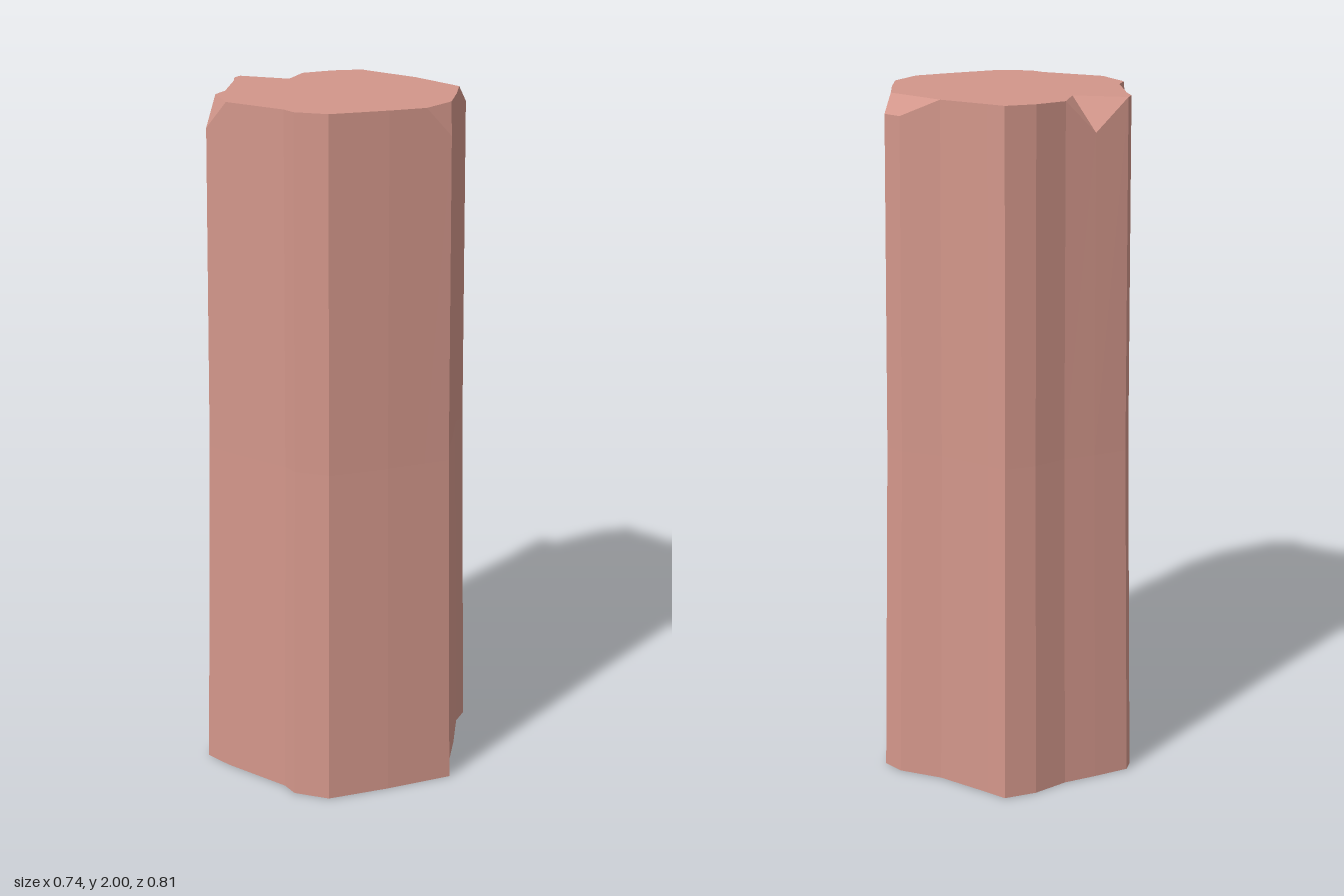
import * as THREE from 'three';

// Base outline [x, z, height of the rim], clockwise seen from above; rim below 2 marks a chipped corner
const outline = [
  [0, -0.405, 2], [0.05, -0.372, 2], [0.192, -0.284, 2], [0.315, -0.242, 1.95], [0.363, -0.196, 1.95],
  [0.348, -0.138, 2], [0.356, 0.0, 2], [0.357, 0.135, 2], [0.369, 0.213, 1.92], [0.300, 0.255, 2],
  [0.2, 0.316, 2], [0.038, 0.404, 2], [-0.067, 0.39, 2], [-0.103, 0.353, 2], [-0.295, 0.26, 2],
  [-0.368, 0.213, 1.92], [-0.357, 0.133, 2], [-0.342, 0.068, 2], [-0.358, -0.118, 2], [-0.37, -0.178, 2],
  [-0.36, -0.215, 2], [-0.265, -0.263, 1.91], [-0.175, -0.305, 2], [-0.09, -0.37, 2],
];
const notchIndex = 21;                                      // the chip that bites into the cap
const notchInner = new THREE.Vector3(-0.178, 2, -0.168);
const MID = 0.94, TOP = 0.913;                              // taper of the upper rings

function flatMesh(name, tris, material) {
  const geometry = new THREE.BufferGeometry().setFromPoints(tris);
  geometry.computeVertexNormals();
  const mesh = new THREE.Mesh(geometry, material);
  mesh.name = name;
  return mesh;
}

// Adds a triangle turned to face up (dir 1) or down (dir -1)
function addFacing(tris, a, b, c, dir) {
  const ny = b.clone().sub(a).cross(c.clone().sub(a)).y;
  tris.push(...(ny * dir >= 0 ? [a, b, c] : [a, c, b]));
}

function fillPolygon(points, dir) {
  const tris = [];
  const flat = points.map((p) => new THREE.Vector2(p.x, p.z));
  for (const [i, j, k] of THREE.ShapeUtils.triangulateShape(flat, []))
    addFacing(tris, points[i], points[j], points[k], dir);
  return tris;
}

export function createModel() {
  const group = new THREE.Group();
  group.name = 'stoneColumn';
  const material = new THREE.MeshStandardMaterial({ color: 0xd2968a, flatShading: true });
  const n = outline.length;
  const ring = (scale, height) =>
    outline.map(([x, z, top]) => new THREE.Vector3(x * scale, height ?? top, z * scale));
  const rings = [ring(1, 0), ring(MID, 1), ring(TOP)];
  const rim = rings[2];

  // Fluted, tapering sides
  const sides = [];
  for (let r = 0; r < 2; r++) {
    for (let i = 0; i < n; i++) {
      const j = (i + 1) % n;
      const a = rings[r][i], b = rings[r][j], c = rings[r + 1][i], d = rings[r + 1][j];
      sides.push(b, a, c, b, c, d);
    }
  }
  group.add(flatMesh('shaft', sides, material));

  // Flat cap, leaving out the chipped corners
  const cap = [];
  rim.forEach((p, i) => {
    if (i === notchIndex) cap.push(notchInner);
    else if (outline[i][2] === 2) cap.push(p);
  });
  group.add(flatMesh('cap', fillPolygon(cap, 1), material));

  // Broken facets at the chipped corners
  const chips = [];
  for (let i = 0; i < n; i++) {
    if (outline[i][2] === 2 || outline[i - 1][2] < 2) continue;
    let end = i;
    while (outline[end][2] < 2) end++;
    if (i === notchIndex) {
      addFacing(chips, rim[i - 1], rim[i], notchInner, 1);
      addFacing(chips, rim[i], rim[end], notchInner, 1);
    } else {
      for (let k = i; k < end; k++) addFacing(chips, rim[i - 1], rim[k], rim[k + 1], 1);
    }
  }
  group.add(flatMesh('chippedCorners', chips, material));

  // Underside
  group.add(flatMesh('base', fillPolygon(rings[0], -1), material));
  return group;
}
